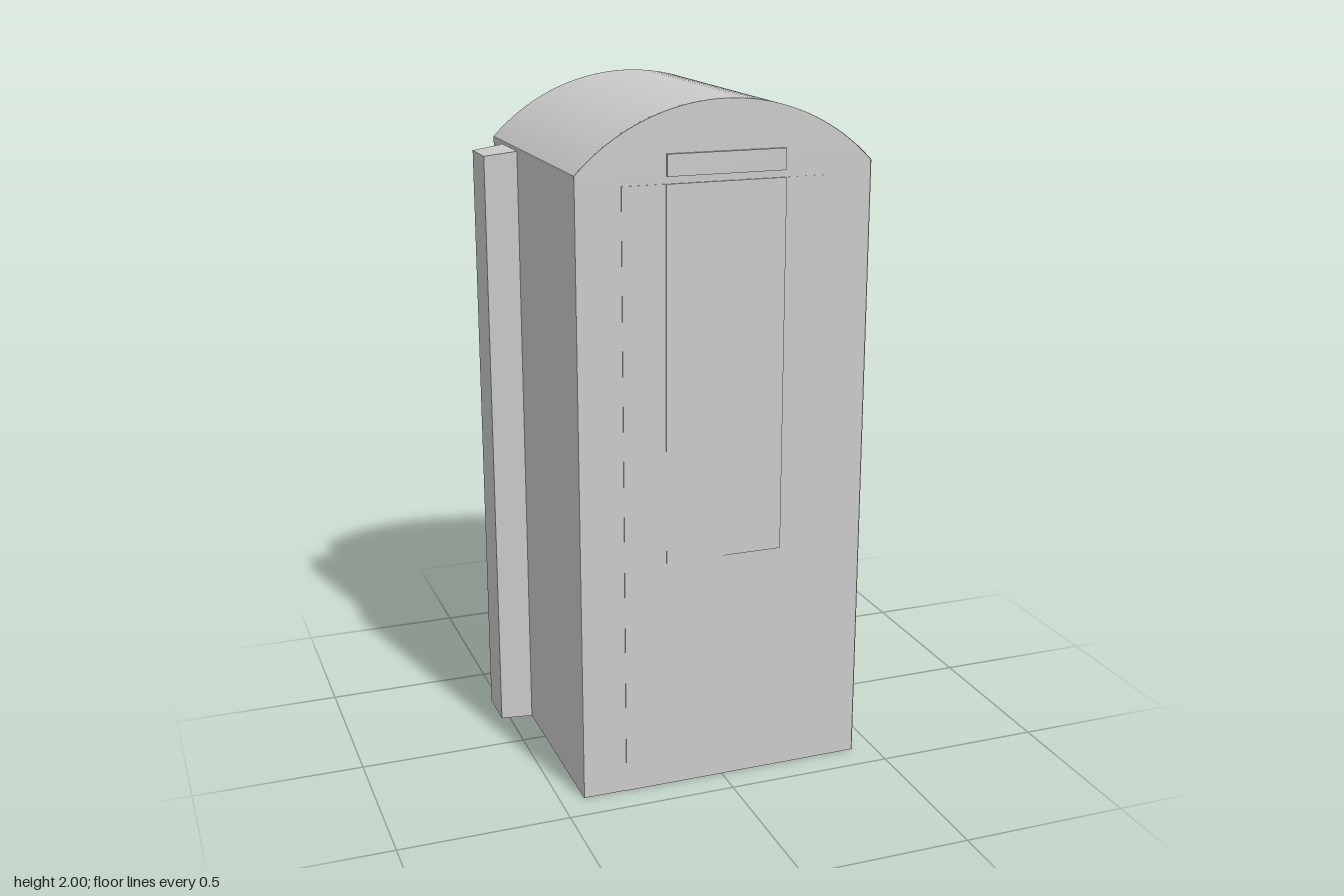
import * as THREE from 'three';

const material = new THREE.MeshStandardMaterial({ color: 0xcccccc, side: THREE.DoubleSide });
const HALF = 0.43, EAVE = 1.815, TOP = 2, FRONT = 0.411, BACK = -0.417;
const RISE = TOP - EAVE;
const RADIUS = (HALF * HALF + RISE * RISE) / (2 * RISE);
const ANGLE = Math.asin(HALF / RADIUS);
const DEPTH = FRONT - BACK, MID_Z = (FRONT + BACK) / 2;

function add(parent, name, geometry, x = 0, y = 0, z = 0) {
  const mesh = new THREE.Mesh(geometry, material);
  mesh.name = name;
  mesh.position.set(x, y, z);
  parent.add(mesh);
  return mesh;
}

// End wall outline: straight sides under a shallow arch
function archShape(bottom) {
  const s = new THREE.Shape();
  s.moveTo(-HALF, bottom);
  s.lineTo(HALF, bottom);
  s.lineTo(HALF, EAVE);
  s.absarc(0, TOP - RADIUS, RADIUS, Math.PI / 2 - ANGLE, Math.PI / 2 + ANGLE, false);
  s.closePath();
  return new THREE.ShapeGeometry(s, 32);
}

// Hollow side pillar, tapering outwards, open below
function pillarGeometry() {
  const g = new THREE.BoxGeometry(0.095, 1.805, 0.162);
  g.translate(0.0475, 0.9025, 0);
  const p = g.attributes.position;
  for (let i = 0; i < p.count; i++) {
    if (p.getX(i) < 0.05) continue;
    p.setZ(i, p.getZ(i) * 0.82);
    if (p.getY(i) > 1) p.setY(i, 1.793);
  }
  // drop the inner and bottom faces
  const index = Array.from(g.index.array);
  g.setIndex(index.filter((_, i) => !(i >= 6 && i < 12) && !(i >= 18 && i < 24)));
  g.clearGroups();
  g.computeVertexNormals();
  return g;
}

export function createModel() {
  const model = new THREE.Group();
  model.name = 'archedCabinet';

  // Curved roof
  const roof = new THREE.CylinderGeometry(RADIUS, RADIUS, DEPTH, 32, 1, true, Math.PI - ANGLE, 2 * ANGLE);
  roof.rotateX(Math.PI / 2);
  add(model, 'roof', roof, 0, TOP - RADIUS, MID_Z);

  // Back wall and recessed front gable
  add(model, 'backWall', archShape(0).rotateY(Math.PI), 0, 0, BACK);
  add(model, 'frontGable', archShape(1.8), 0, 0, 0.405);

  // Front wall, and the two door leaves meeting at the centre
  add(model, 'frontWall', new THREE.PlaneGeometry(2 * HALF, 1.805), 0, 0.9025, 0.408);
  add(model, 'leftLeaf', new THREE.BoxGeometry(0.3, 1.78, 0.001), 0.15, 0.89, 0.4085);
  add(model, 'rightLeaf', new THREE.BoxGeometry(0.3, 1.78, 0.002), -0.15, 0.89, 0.409);

  // Raised centre panel and the tab above it
  add(model, 'doorPanel', new THREE.BoxGeometry(0.35, 1.08, 0.006), 0, 1.24, 0.41);
  add(model, 'topTab', new THREE.BoxGeometry(0.344, 0.06, 0.01), 0, 1.83, 0.41);

  // Side walls and pillars
  for (const side of [1, -1]) {
    const name = side > 0 ? 'left' : 'right';
    const wall = add(model, name + 'Wall', new THREE.PlaneGeometry(DEPTH, EAVE), side * HALF, EAVE / 2, MID_Z);
    wall.rotation.y = side * Math.PI / 2;
    const pillar = add(model, name + 'Pillar', pillarGeometry(), side * HALF, 0, -0.232);
    if (side < 0) pillar.rotation.y = Math.PI;
  }
  return model;
}
